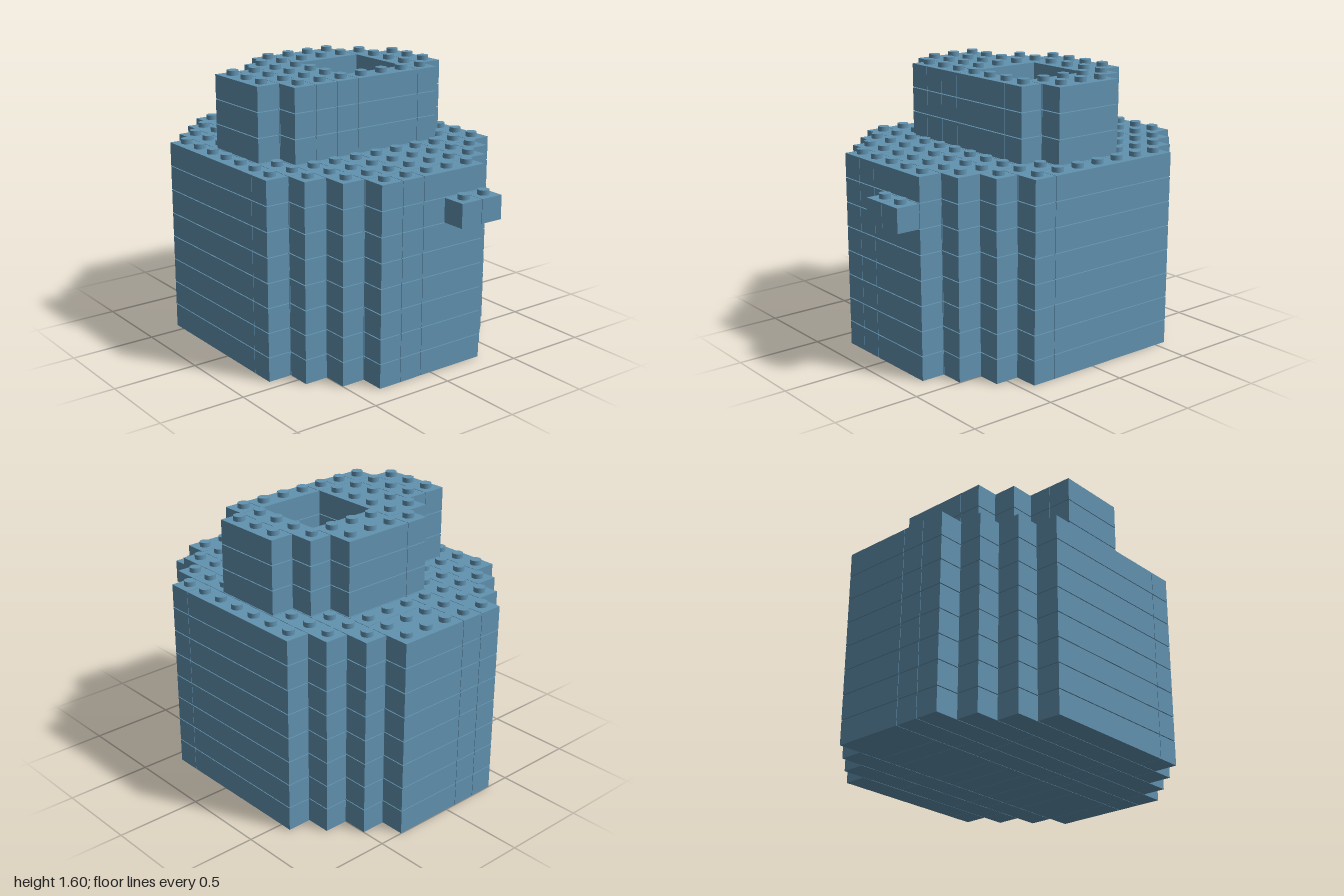
import * as THREE from 'three';
import { mergeGeometries } from 'three/addons/utils/BufferGeometryUtils.js';

const CELL = 1 / 7;      // stud pitch
const LAYER = 0.1431;    // brick height
const GAP_SIDE = 0.003;
const GAP_TOP = 0.005;

const cellX = (i) => i * CELL - 1;
const cellZ = (k) => (k - 5.5) * CELL;

// A row of bricks from z0 to z1, divided at the given x cells
const row = (z0, z1, ...cuts) =>
  cuts.slice(1).map((x1, n) => ({ x0: cuts[n], x1, z0, z1 }));

// Stepped rows, the same at the back and the front
const bothEnds = (k, ...cuts) => [...row(k, k + 1, ...cuts), ...row(10 - k, 11 - k, ...cuts)];

const BODY = [
  ...bothEnds(0, 3, 9, 10),
  ...bothEnds(1, 2, 5, 8, 10, 11),
  ...bothEnds(2, 1, 4, 8, 9, 12),
  ...row(3, 6, 0, 2, 3, 5, 6, 7, 8, 9, 10, 12, 13),
  ...row(6, 7, 0, 3, 4, 8, 9, 12, 13),
  ...row(7, 8, 0, 4, 8, 9, 12, 13),
];
const TOWER = [
  ...row(1, 2, 5, 8),
  ...row(2, 3, 4, 8, 9),
  ...row(3, 6, 3, 5),
  ...row(3, 6, 8, 9),
  ...row(6, 7, 3, 4),
  ...row(6, 8, 4, 8),
  ...row(6, 7, 8, 9),
  ...row(7, 8, 8, 9),
  ...row(8, 9, 5, 8, 9),
  ...row(9, 10, 5, 8),
];
const LEDGE = row(3, 6, 5, 6);     // raised step inside the tower opening
const SPOUT = [...row(3, 4, 13, 14), ...row(4, 5, 13, 14)];

function brick({ x0, x1, z0, z1 }, layer) {
  const g = new THREE.BoxGeometry(
    (x1 - x0) * CELL - GAP_SIDE, LAYER - GAP_TOP, (z1 - z0) * CELL - GAP_SIDE);
  return g.translate(
    cellX((x0 + x1) / 2), layer * LAYER + (LAYER - GAP_TOP) / 2, cellZ((z0 + z1) / 2));
}

export function createModel() {
  const model = new THREE.Group();
  model.name = 'brickModel';
  const blue = new THREE.MeshStandardMaterial({ color: 0x6192b0 });
  blue.name = 'sandBlue';
  const tops = new Map();    // highest layer over each cell

  function addLayers(name, plan, from, to) {
    const group = new THREE.Group();
    group.name = name;
    for (let layer = from; layer < to; layer++) {
      const mesh = new THREE.Mesh(mergeGeometries(plan.map((b) => brick(b, layer))), blue);
      mesh.name = `${name}Layer${layer - from + 1}`;
      group.add(mesh);
    }
    for (const { x0, x1, z0, z1 } of plan)
      for (let i = x0; i < x1; i++)
        for (let k = z0; k < z1; k++) tops.set(`${i},${k}`, { i, k, layer: to });
    model.add(group);
  }

  addLayers('body', BODY, 0, 8);
  addLayers('towerLedge', LEDGE, 8, 9);
  addLayers('tower', TOWER, 8, 11);
  addLayers('spout', SPOUT, 6, 7);

  // Studs on every exposed cell
  const studs = [...tops.values()].map(({ i, k, layer }) =>
    new THREE.CylinderGeometry(0.033, 0.033, 0.028, 16).translate(
      cellX(i + 0.5), layer * LAYER - GAP_TOP + 0.014, cellZ(k + 0.5)));
  const studMesh = new THREE.Mesh(mergeGeometries(studs), blue);
  studMesh.name = 'studs';
  model.add(studMesh);
  return model;
}
